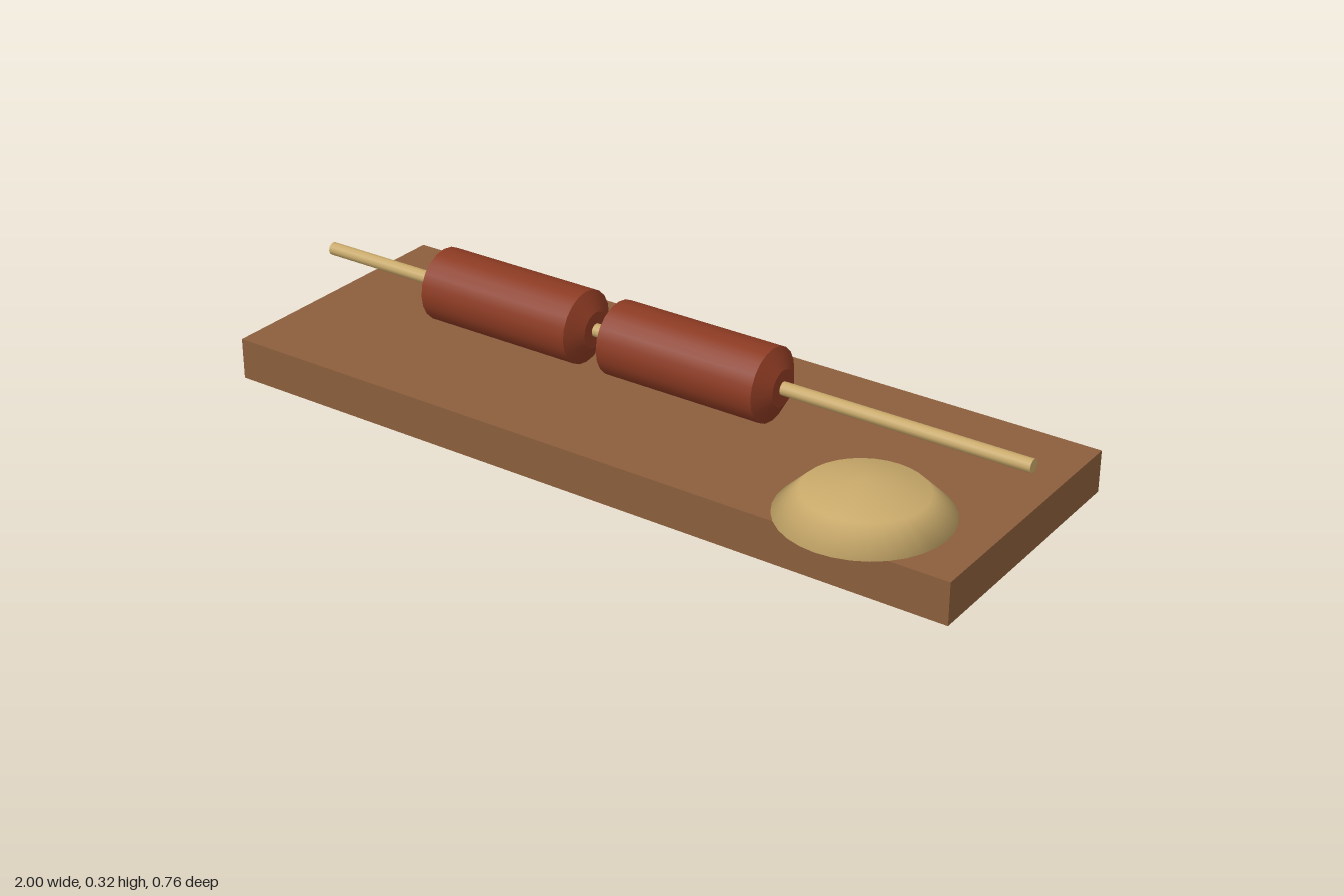
import * as THREE from 'three';

const material = (name, color) => {
  const m = new THREE.MeshStandardMaterial({ color });
  m.name = name;
  return m;
};

export function createModel() {
  const wood = material('board wood', 0x8b5e3c);
  const meat = material('sausage red', 0x8b3a22);
  const pale = material('pale tan', 0xc8a96a);
  const model = new THREE.Group();
  model.name = 'skewerBoard';

  const add = (parent, name, geometry, mat, x, y, z) => {
    const mesh = new THREE.Mesh(geometry, mat);
    mesh.name = name;
    mesh.position.set(x, y, z);
    parent.add(mesh);
    return mesh;
  };
  // Cylinder lying along x; rLeft is the radius at its +x end
  const rod = (rLeft, rRight, length, sides, open = false) =>
    new THREE.CylinderGeometry(rLeft, rRight, length, sides, 1, open).rotateZ(-Math.PI / 2);

  // Serving board
  add(model, 'board', new THREE.BoxGeometry(2, 0.107, 0.703), wood, 0, 0.0535, -0.0295);

  // Skewer stick
  add(model, 'stick', rod(0.017, 0.017, 2, 10), pale, 0, 0.225, -0.029);

  // Two sausages with tapered ends
  for (const [name, x] of [['rightSausage', -0.415], ['leftSausage', 0.115]]) {
    const sausage = new THREE.Group();
    sausage.name = name;
    sausage.position.set(x, 0.225, -0.029);
    add(sausage, 'body', rod(0.093, 0.093, 0.434, 20, true), meat, 0, 0, 0);
    add(sausage, 'leftEnd', rod(0.046, 0.093, 0.029, 20), meat, 0.2315, 0, 0);
    add(sausage, 'rightEnd', rod(0.093, 0.046, 0.029, 20), meat, -0.2315, 0, 0);
    model.add(sausage);
  }

  // Flattened mound overhanging the front edge, closed underneath
  const dome = new THREE.SphereGeometry(0.205, 32, 2, 0, Math.PI * 2, 0, Math.PI / 2).scale(1, 0.4, 1);
  add(model, 'mound', dome, pale, 0.705, 0.107, 0.177);
  add(model, 'moundBase', new THREE.CircleGeometry(0.205, 32).rotateX(Math.PI / 2), pale, 0.705, 0.1072, 0.177);

  return model;
}
